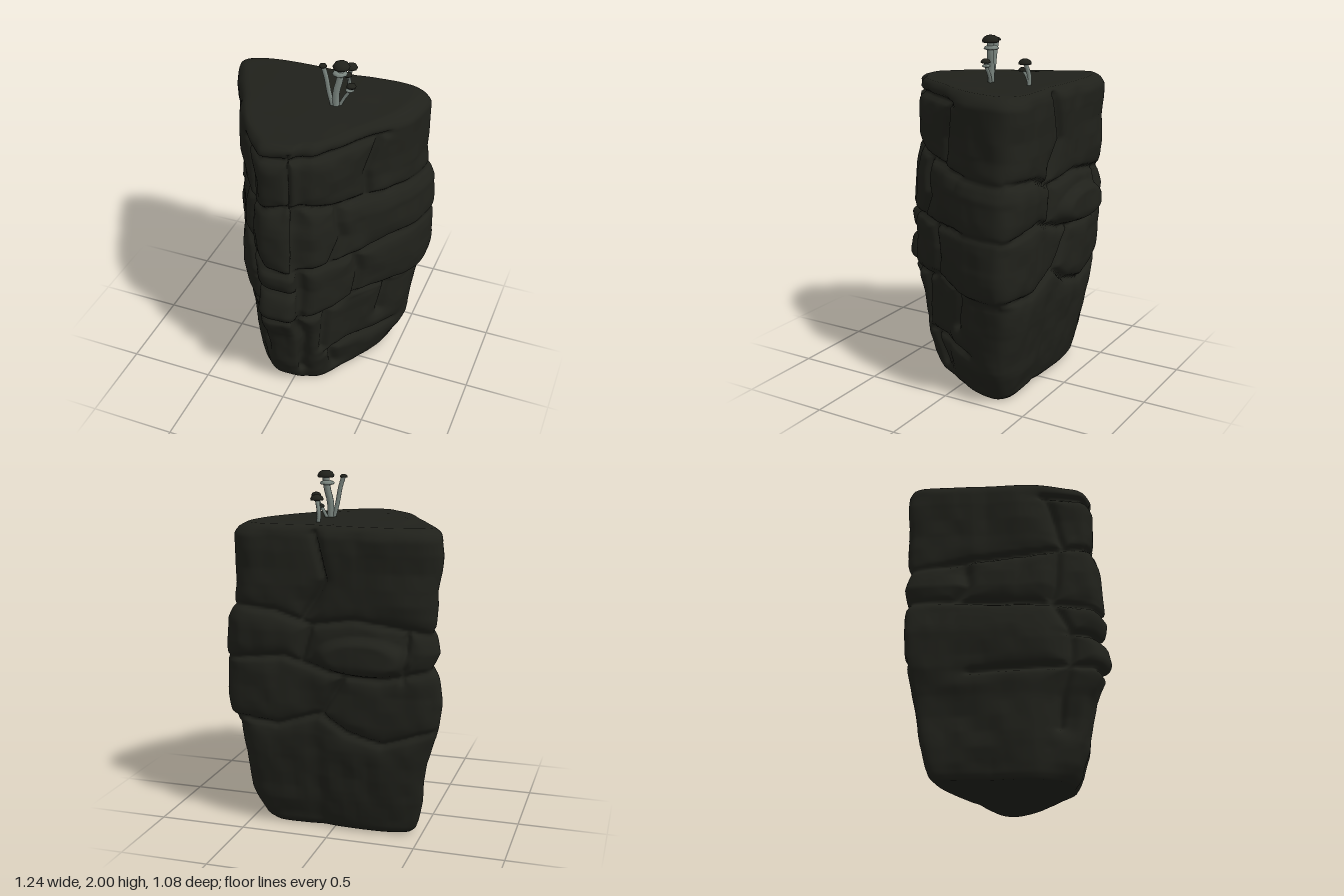
import * as THREE from 'three';

const rockMat = new THREE.MeshStandardMaterial({ color: 0x20211b });
const capMat = new THREE.MeshStandardMaterial({ color: 0x20211b, side: THREE.DoubleSide });
const stemMat = new THREE.MeshStandardMaterial({ color: 0x7a857f, side: THREE.DoubleSide });

// Widest plan outline (x, z), a blunt triangle with its nose to the front
const OUTLINE = [
  [-0.61, -0.41], [-0.55, -0.46], [-0.43, -0.49], [-0.25, -0.5], [0, -0.49], [0.1, -0.475], [0.25, -0.49],
  [0.53, -0.48], [0.61, -0.41], [0.58, -0.2], [0.47, 0], [0.36, 0.13], [0.25, 0.31], [0.17, 0.41],
  [0.1, 0.45], [0.06, 0.51], [-0.03, 0.53], [-0.12, 0.52], [-0.18, 0.44], [-0.31, 0.26], [-0.43, 0.01], [-0.54, -0.22],
];

// Reach of the block at each height: y, left edge, right edge, front, back
const LEVELS = [
  [0, 0.43, 0.39, 0.3, 0.33], [0.03, 0.46, 0.42, 0.33, 0.36], [0.2, 0.5, 0.49, 0.4, 0.4], [0.45, 0.54, 0.53, 0.455, 0.44],
  [0.6, 0.59, 0.545, 0.53, 0.455], [0.66, 0.6, 0.6, 0.535, 0.465], [0.8, 0.617, 0.612, 0.5, 0.47],
  [0.95, 0.6, 0.605, 0.525, 0.475], [1.0, 0.575, 0.605, 0.515, 0.48], [1.08, 0.61, 0.605, 0.505, 0.485],
  [1.2, 0.585, 0.6, 0.5, 0.485], [1.29, 0.58, 0.56, 0.485, 0.48], [1.4, 0.58, 0.54, 0.47, 0.48],
  [1.6, 0.61, 0.54, 0.475, 0.485], [1.68, 0.605, 0.54, 0.47, 0.48], [1.72, 0.585, 0.515, 0.45, 0.465], [1.738, 0.55, 0.48, 0.42, 0.44],
];

// Joints between the stones, as polylines of x, y pairs
const FRONT_JOINTS = [
  [-0.65, 1.0, -0.2, 0.97, 0.04, 0.95, 0.35, 0.95, 0.65, 1.0],
  [-0.65, 1.17, -0.45, 1.25, -0.2, 1.32, 0.04, 1.37, 0.15, 1.34, 0.3, 1.3, 0.65, 1.27],
  [-0.45, 0.58, -0.2, 0.61, 0.05, 0.6, 0.25, 0.6, 0.32, 0.65, 0.65, 0.62],
  [-0.2, 0.8, 0.08, 0.8], [0.2, 0.25, 0.46, 0.26],
  [-0.27, 1.65, -0.23, 1.5, -0.2, 1.33], [0.04, 1.68, 0.05, 1.36], [0.4, 1.66, 0.35, 1.45, 0.36, 1.3],
  [0.08, 1.36, 0.08, 0.96], [-0.22, 1.31, -0.25, 1.0], [0.25, 1.31, 0.28, 1.1, 0.24, 0.96],
  [-0.47, 1.24, -0.48, 1.0], [-0.25, 0.96, -0.19, 0.8, -0.2, 0.6], [0.1, 0.95, 0.1, 0.6], [0.33, 0.95, 0.35, 0.8, 0.33, 0.65],
  [0.08, 0.6, 0.1, 0.4, 0.07, 0.12], [0.22, 0.6, 0.18, 0.3], [0.46, 0.62, 0.42, 0.4], [-0.2, 0.6, -0.18, 0.28],
  [0.22, 0.26, 0.22, 0.06], [-0.28, 1.65, 0, 1.66, 0.42, 1.66],
];
const BACK_JOINTS = [
  [0.65, 1.3, 0.3, 1.27, 0.1, 1.2, -0.15, 1.24, -0.65, 1.17], [0.65, 0.98, 0.25, 1.02, 0, 0.94, -0.3, 0.92, -0.65, 1.0],
  [0.65, 0.65, 0.3, 0.62, 0.05, 0.7, -0.1, 0.94], [-0.65, 0.66, -0.3, 0.55, -0.1, 0.6, 0.05, 0.7],
  [0.15, 1.22, 0.02, 1.45, 0.08, 1.7], [0.15, 1.0, 0.1, 1.2], [-0.45, 1.2, -0.42, 0.93],
];

const toSegments = joints => joints.flatMap(p => {
  const out = [];
  for (let i = 0; i + 3 < p.length; i += 2) out.push(p.slice(i, i + 4));
  return out;
});
const frontSegs = toSegments(FRONT_JOINTS), backSegs = toSegments(BACK_JOINTS);

function distanceTo(segs, x, y) {
  let best = 9;
  for (const [ax, ay, bx, by] of segs) {
    const dx = bx - ax, dy = by - ay;
    const t = THREE.MathUtils.clamp(((x - ax) * dx + (y - ay) * dy) / (dx * dx + dy * dy), 0, 1);
    best = Math.min(best, Math.hypot(x - ax - t * dx, y - ay - t * dy));
  }
  return best;
}

// Lattice noise with straight interpolation, for chipped planes
function hash(i, j, k) {
  const s = Math.sin(i * 127.1 + j * 311.7 + k * 74.7) * 43758.5453;
  return (s - Math.floor(s)) * 2 - 1;
}
function chips(x, y, z) {
  const i = Math.floor(x), j = Math.floor(y), k = Math.floor(z);
  let sum = 0;
  for (let c = 0; c < 8; c++) {
    const a = c & 1, b = (c >> 1) & 1, d = c >> 2;
    sum += hash(i + a, j + b, k + d) * (1 - Math.abs(x - i - a)) * (1 - Math.abs(y - j - b)) * (1 - Math.abs(z - k - d));
  }
  return sum;
}

function reachAt(y) {
  let i = 0;
  while (i < LEVELS.length - 2 && LEVELS[i + 1][0] < y) i++;
  const a = LEVELS[i], b = LEVELS[i + 1];
  const t = THREE.MathUtils.clamp((y - a[0]) / (b[0] - a[0]), 0, 1);
  return a.map((v, n) => v + (b[n] - v) * t);
}

function rockGeometry() {
  const SEG = 280, ROWS = 140, CAP = 14, TOP = 1.738;
  const curve = new THREE.CatmullRomCurve3(OUTLINE.map(([x, z]) => new THREE.Vector3(x, 0, z)), true, 'centripetal');
  const plan = curve.getSpacedPoints(SEG).slice(0, SEG);
  const pos = [], index = [];

  const sidePoint = (i, y) => {
    const p = plan[i], q = plan[(i + 1) % SEG], o = plan[(i + SEG - 1) % SEG];
    const [, left, right, front, back] = reachAt(y);
    const x = p.x * (p.x < 0 ? left : right) / 0.61;
    // The nose shortens more than the shoulders behind it
    const z = p.z > 0 ? p.z * (1 - (1 - front / 0.53) * p.z / 0.53) : p.z * back / 0.5;
    const n = new THREE.Vector2(q.z - o.z, o.x - q.x).normalize();
    const isBack = p.z < -0.42;
    const d = distanceTo(isBack ? backSegs : frontSegs, x, y);
    const fade = THREE.MathUtils.smoothstep(y, 0, 0.1) * (1 - THREE.MathUtils.smoothstep(y, 1.69, TOP));
    const corner = THREE.MathUtils.smoothstep(Math.abs(p.x), 0.5, 0.6);
    // Narrow crack with rounded stone edges, then chipped faces
    let out = 0.004 - (0.03 * Math.exp(-((d / 0.015) ** 2)) + 0.016 * Math.exp(-((d / 0.045) ** 2))) * (1 - 0.6 * corner);
    out += 0.016 * chips(x * 6, y * 6, z * 6) + 0.008 * chips(x * 14, y * 12, z * 14);
    // Stone standing proud of the back
    if (isBack) out += 0.05 * THREE.MathUtils.smoothstep(1 - ((x + 0.2) / 0.28) ** 2 - ((y - 1.04) / 0.12) ** 2, 0, 0.6);
    return [x + n.x * out * fade, y, z + n.y * out * fade];
  };

  // Underside from its centre, walls, then the gently uneven top drawn in to a point
  for (let r = 0; r <= 4; r++) for (let i = 0; i < SEG; i++) {
    const [x, , z] = sidePoint(i, 0);
    pos.push(x * r / 4, 0, z * r / 4);
  }
  for (let r = 1; r <= ROWS; r++) for (let i = 0; i < SEG; i++) pos.push(...sidePoint(i, TOP * r / ROWS));
  for (let r = 1; r <= CAP; r++) for (let i = 0; i < SEG; i++) {
    const s = 1 - r / CAP, [x, , z] = sidePoint(i, TOP);
    const h = 0.005 * (1 - s) + 0.008 * chips(x * s * 6, 3.3, z * s * 6) * Math.min(1, r / 3);
    pos.push(x * s, TOP + h, z * s);
  }
  const rings = pos.length / 3 / SEG;
  for (let r = 0; r < rings - 1; r++) for (let i = 0; i < SEG; i++) {
    const a = r * SEG + i, b = r * SEG + (i + 1) % SEG, c = a + SEG, d = b + SEG;
    index.push(a, c, b, b, c, d);
  }
  const g = new THREE.BufferGeometry();
  g.setAttribute('position', new THREE.Float32BufferAttribute(pos, 3));
  g.setIndex(index);
  g.computeVertexNormals();
  return g;
}

// Mushroom: bent stem, domed cap, optional pale skirt under it
function mushroom(name, path, radius, capRadius, skirt) {
  const group = new THREE.Group();
  group.name = name;
  const pts = path.map(p => new THREE.Vector3(...p));
  const end = pts[pts.length - 1];
  const stem = new THREE.Mesh(new THREE.TubeGeometry(new THREE.CatmullRomCurve3(pts), 8, radius, 7), stemMat);
  stem.name = 'stem';
  const dome = [[0, -0.1], [0.6, -0.2], [0.95, -0.25], [1, 0], [0.8, 0.35], [0.45, 0.55], [0, 0.6]];
  const cap = new THREE.Mesh(new THREE.LatheGeometry(dome.map(([r, y]) => new THREE.Vector2(r * capRadius, y * capRadius)), 10), capMat);
  cap.name = 'cap';
  cap.position.copy(end);
  group.add(stem, cap);
  if (skirt) {
    const bell = [[0.35, 0.25], [0.7, 0.15], [0.9, -0.1], [0.75, -0.25], [0.35, -0.3]];
    const ring = new THREE.Mesh(new THREE.LatheGeometry(bell.map(([r, y]) => new THREE.Vector2(r * capRadius, y * capRadius)), 10), stemMat);
    ring.name = 'skirt';
    ring.position.set(end.x - 0.008, end.y - capRadius * 0.85, end.z);
    group.add(ring);
  }
  return group;
}

export function createModel() {
  const model = new THREE.Group();
  model.name = 'rockPillar';
  const rock = new THREE.Mesh(rockGeometry(), rockMat);
  rock.name = 'stackedStones';
  model.add(rock,
    mushroom('tallMushroom', [[0.105, 1.72, -0.065], [0.105, 1.82, -0.065], [0.122, 1.9, -0.072], [0.128, 1.972, -0.078]], 0.02, 0.047, true),
    mushroom('leftMushroom', [[0.09, 1.73, -0.06], [0.065, 1.82, -0.06], [0.05, 1.9, -0.06], [0.03, 1.965, -0.06]], 0.013, 0.022, false),
    mushroom('rightMushroom', [[0.12, 1.73, -0.075], [0.15, 1.79, -0.08], [0.17, 1.82, -0.08], [0.185, 1.862, -0.08]], 0.01, 0.027, true),
    mushroom('backMushroom', [[0.1, 1.72, -0.3], [0.095, 1.79, -0.3], [0.112, 1.862, -0.283]], 0.012, 0.036, false),
    mushroom('smallBackMushroom', [[0.1, 1.75, -0.3], [0.1, 1.79, -0.285], [0.1, 1.82, -0.262]], 0.008, 0.024, false));
  return model;
}
